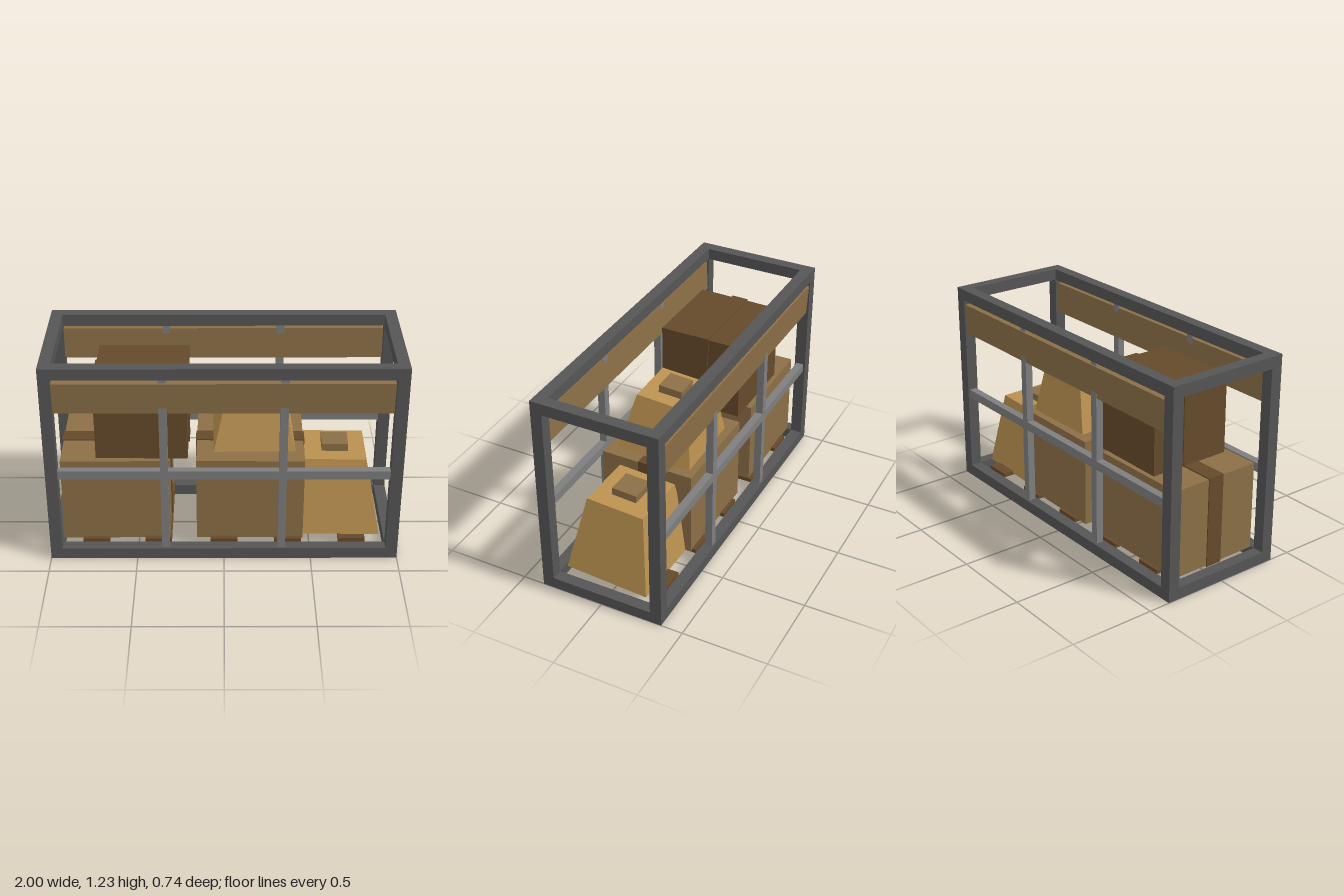
import * as THREE from 'three';

export function createModel() {
  const root = new THREE.Group();
  const mat = (name, color) => {
    const m = new THREE.MeshStandardMaterial({ color });
    m.name = name;
    return m;
  };
  const frameGrey = mat('dark grey steel', 0x555555);
  const barGrey = mat('light grey steel', 0x7e7e7e);
  const wood = mat('brown wood', 0x8b6f47);
  const darkWood = mat('dark brown wood', 0x654a2b);
  const cloth = mat('tan cloth', 0xba9150);

  const add = (parent, name, geometry, material, x, y, z) => {
    const mesh = new THREE.Mesh(geometry, material);
    mesh.name = name;
    mesh.position.set(x, y, z);
    parent.add(mesh);
    return mesh;
  };
  const box = (parent, name, material, w, h, d, x, y, z) =>
    add(parent, name, new THREE.BoxGeometry(w, h, d), material, x, y, z);
  const group = (name, x, y, z) => {
    const g = new THREE.Group();
    g.name = name;
    g.position.set(x, y, z);
    root.add(g);
    return g;
  };

  // Outer cage
  const H = 1.232, D = 0.744, T = 0.068;
  const zEdge = (D - T) / 2;
  const cage = group('cage', 0, 0, 0);
  for (const s of [-1, 1]) {
    for (const y of [T / 2, H - T / 2]) {
      box(cage, 'longRail', frameGrey, 2, T, T, 0, y, s * zEdge);
      box(cage, 'crossRail', frameGrey, T, T, D - 2 * T, s * (1 - T / 2), y, 0);
    }
    for (const x of [-1, 1])
      box(cage, 'cornerPost', frameGrey, T, H - 2 * T, T, x * (1 - T / 2), H / 2, s * zEdge);

    // Lighter bars and the leaning board on each long side
    box(cage, 'middleBar', barGrey, 2 - 2 * T, 0.052, 0.045, 0, 0.557, s * zEdge);
    for (const x of [-0.335, 0.33])
      box(cage, 'uprightBar', barGrey, 0.045, H - 2 * T, 0.044, x, H / 2, s * zEdge);
    const board = box(cage, 'sideBoard', wood, 1.86, 0.185, 0.05, -0.003, 1.048, s * zEdge);
    board.rotation.x = s * 0.05;
  }

  // Crate with a strap wrapped round its middle
  const crate = (name, material, w, h, d, x, y, z, yaw, pitch = 0) => {
    const g = group(name, x, y, z);
    g.rotation.set(pitch, yaw, 0);
    box(g, 'crateBody', material, w, h, d, 0, h / 2, 0);
    box(g, 'strap', darkWood, w + 0.012, h + 0.014, 0.1, 0, h / 2, 0);
    return g;
  };
  crate('leftCrate', wood, 0.615, 0.52, 0.56, -0.62, 0.08, -0.002, 0.008);
  crate('middleCrate', wood, 0.615, 0.52, 0.56, 0.152, 0.08, -0.002, -0.008);
  crate('upperCrate', darkWood, 0.52, 0.465, 0.5, -0.463, 0.6, -0.003, -0.008, -0.005);

  // Skids under the load
  for (const x of [-0.74, -0.38, 0, 0.37, 0.74])
    box(root, 'skid', darkWood, 0.155, 0.024, 0.608, x, 0.078, 0);

  // Tapered sack with a square cap
  const sack = (name, w, d, topW, topD, h, cap, x, y, z, yaw, pitch) => {
    const g = group(name, x, y, z);
    g.rotation.set(pitch, yaw, 0);
    const geo = new THREE.BoxGeometry(w, h, d).toNonIndexed();
    const p = geo.attributes.position;
    for (let i = 0; i < p.count; i++) {
      if (p.getY(i) > 0) {
        p.setX(i, Math.sign(p.getX(i)) * topW / 2);
        p.setZ(i, Math.sign(p.getZ(i)) * topD / 2);
      }
    }
    geo.computeVertexNormals();
    add(g, 'sackBody', geo, cloth, 0, h / 2, 0);
    box(g, 'cap', wood, cap, 0.05, cap, 0, h + 0.02, 0);
  };
  sack('upperSack', 0.465, 0.45, 0.31, 0.32, 0.335, 0.14, 0.172, 0.608, -0.012, 0.01, -0.07);
  sack('rightSack', 0.53, 0.505, 0.35, 0.35, 0.455, 0.152, 0.643, 0.086, 0.012, -0.025, -0.035);

  return root;
}
